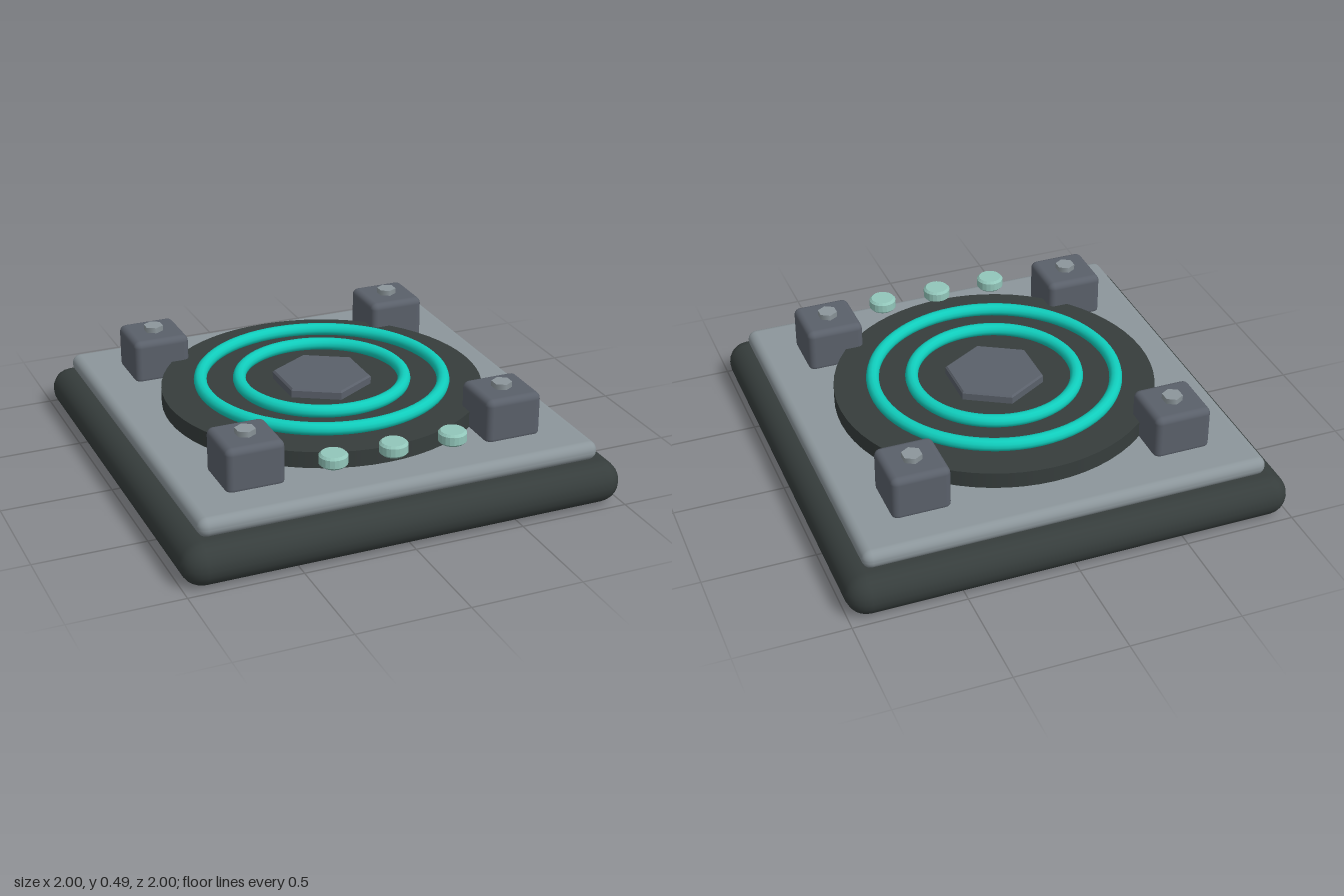
import * as THREE from 'three';
import { RoundedBoxGeometry } from 'three/addons/geometries/RoundedBoxGeometry.js';

const paint = (name, color) => {
  const m = new THREE.MeshStandardMaterial({ color });
  m.name = name;
  return m;
};

export function createModel() {
  const charcoal = paint('charcoal', 0x363d3c);
  const steel = paint('steel grey', 0x8c969b);
  const slate = paint('slate', 0x5a606a);
  const teal = paint('glowing teal', 0x10cdbc);
  const mint = paint('pale mint', 0x92c6ba);

  const model = new THREE.Group();
  model.name = 'launchPad';
  const add = (name, geometry, material, x, y, z) => {
    const mesh = new THREE.Mesh(geometry, material);
    mesh.name = name;
    mesh.position.set(x, y, z);
    model.add(mesh);
    return mesh;
  };

  // Cylinder with chamfered rims, standing on y = 0
  const chamferedDisc = (r, h, c, sides) => {
    const profile = [[0, 0], [r - c, 0], [r, c], [r, h - c], [r - c, h], [0, h]]
      .map(([x, y]) => new THREE.Vector2(x, y));
    const g = new THREE.LatheGeometry(profile, sides).toNonIndexed();
    g.computeVertexNormals();
    return g;
  };

  // Stacked base, deck and round platform
  add('base', new RoundedBoxGeometry(2, 0.19, 2, 3, 0.094), charcoal, 0, 0.097, 0);
  add('deck', new RoundedBoxGeometry(1.82, 0.085, 1.82, 3, 0.04), steel, 0, 0.233, 0);
  add('platform', new THREE.CylinderGeometry(0.72, 0.72, 0.11, 64), charcoal, 0, 0.295, 0);

  // Concentric rings around the hexagonal hub
  for (const [name, radius] of [['innerRing', 0.37], ['outerRing', 0.545]]) {
    const ring = new THREE.TorusGeometry(radius, 0.029, 12, 72).rotateX(Math.PI / 2);
    add(name, ring, teal, 0, 0.373, 0);
  }
  add('hub', chamferedDisc(0.222, 0.06, 0.008, 6), slate, 0, 0.33, 0);

  // Corner blocks, each topped by a hexagonal bolt
  const block = new RoundedBoxGeometry(0.26, 0.21, 0.26, 3, 0.03);
  const bolt = new THREE.CylinderGeometry(0.045, 0.045, 0.04, 6);
  for (const x of [-0.593, 0.593]) {
    for (const z of [-0.593, 0.593]) {
      add('cornerBlock', block, slate, x, 0.361, z);
      add('bolt', bolt, steel, x, 0.471, z);
    }
  }

  // Row of hovering indicator lights along the front
  const light = chamferedDisc(0.062, 0.056, 0.01, 20);
  for (const x of [-0.273, 0, 0.273]) add('indicatorLight', light, mint, x, 0.339, 0.765);

  return model;
}
